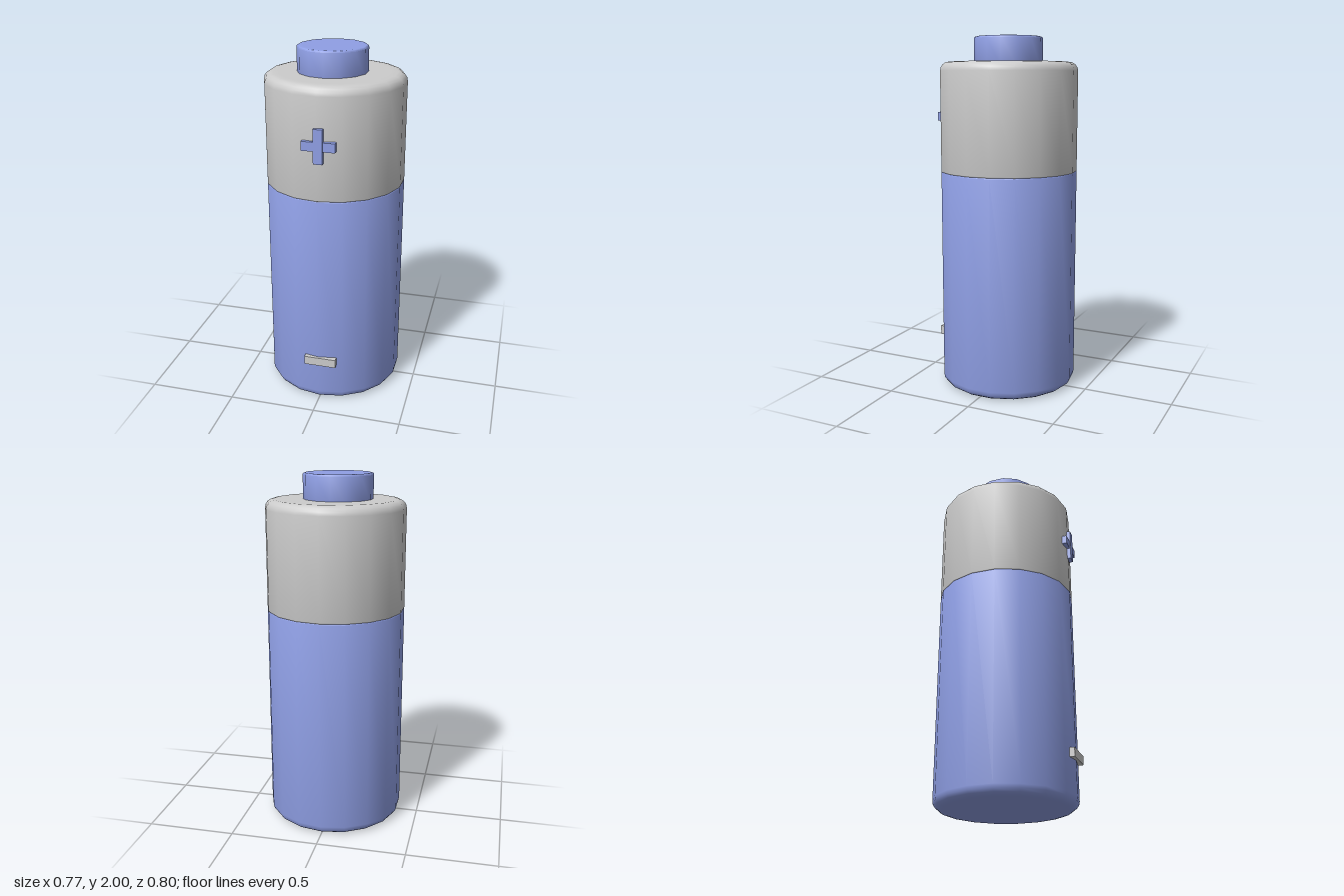
import * as THREE from 'three';
import { toCreasedNormals } from 'three/addons/utils/BufferGeometryUtils.js';

const grey = new THREE.MeshStandardMaterial({ color: 0xcccccc });
const blue = new THREE.MeshStandardMaterial({ color: 0x8f9fe5 });

// Closed faceted cylinder from y0 to y1 with its bottom and top rims rounded
function roundedCylinder(radius, y0, y1, bottomBevel, topBevel, sides) {
  const points = [new THREE.Vector2(0, y0), new THREE.Vector2((radius - bottomBevel) * 0.9, y0)];
  const addRim = (bevel, centreY, startAngle) => {
    const steps = bevel > 0.02 ? 4 : 3;
    for (let i = 0; i <= steps; i++) {
      const a = startAngle + (i / steps) * Math.PI / 2;
      points.push(new THREE.Vector2(radius - bevel + bevel * Math.cos(a), centreY + bevel * Math.sin(a)));
    }
  };
  addRim(bottomBevel, y0 + bottomBevel, -Math.PI / 2);
  addRim(topBevel, y1 - topBevel, 0);
  points.push(new THREE.Vector2((radius - topBevel) * 0.9, y1), new THREE.Vector2(0, y1));
  return toCreasedNormals(new THREE.LatheGeometry(points, sides), THREE.MathUtils.degToRad(40));
}

export function createModel() {
  const model = new THREE.Group();
  model.name = 'battery';

  const add = (name, geometry, material, x, y, z, parent = model) => {
    const mesh = new THREE.Mesh(geometry, material);
    mesh.name = name;
    mesh.position.set(x, y, z);
    parent.add(mesh);
  };

  // Two-tone casing, 18 sides
  add('lowerCasing', roundedCylinder(0.391, 0, 1.25, 0.05, 0.008, 18), blue, 0, 0, -0.01);
  add('upperCasing', roundedCylinder(0.391, 1.245, 1.86, 0.008, 0.05, 18), grey, 0, 0, -0.01);

  // Terminal, 14 sides, slightly off centre
  add('terminal', roundedCylinder(0.194, 1.83, 2, 0.008, 0.01, 14), blue, -0.013, 0, -0.003);

  // Raised polarity marks on the front
  const plus = new THREE.Group();
  plus.name = 'plusMark';
  model.add(plus);
  add('plusHorizontalBar', new THREE.BoxGeometry(0.182, 0.05, 0.03), blue, 0.011, 1.553, 0.38, plus);
  add('plusVerticalBar', new THREE.BoxGeometry(0.05, 0.186, 0.035), blue, 0.011, 1.554, 0.3825, plus);
  add('minusMark', new THREE.BoxGeometry(0.182, 0.05, 0.03), grey, 0.011, 0.262, 0.38);

  return model;
}
